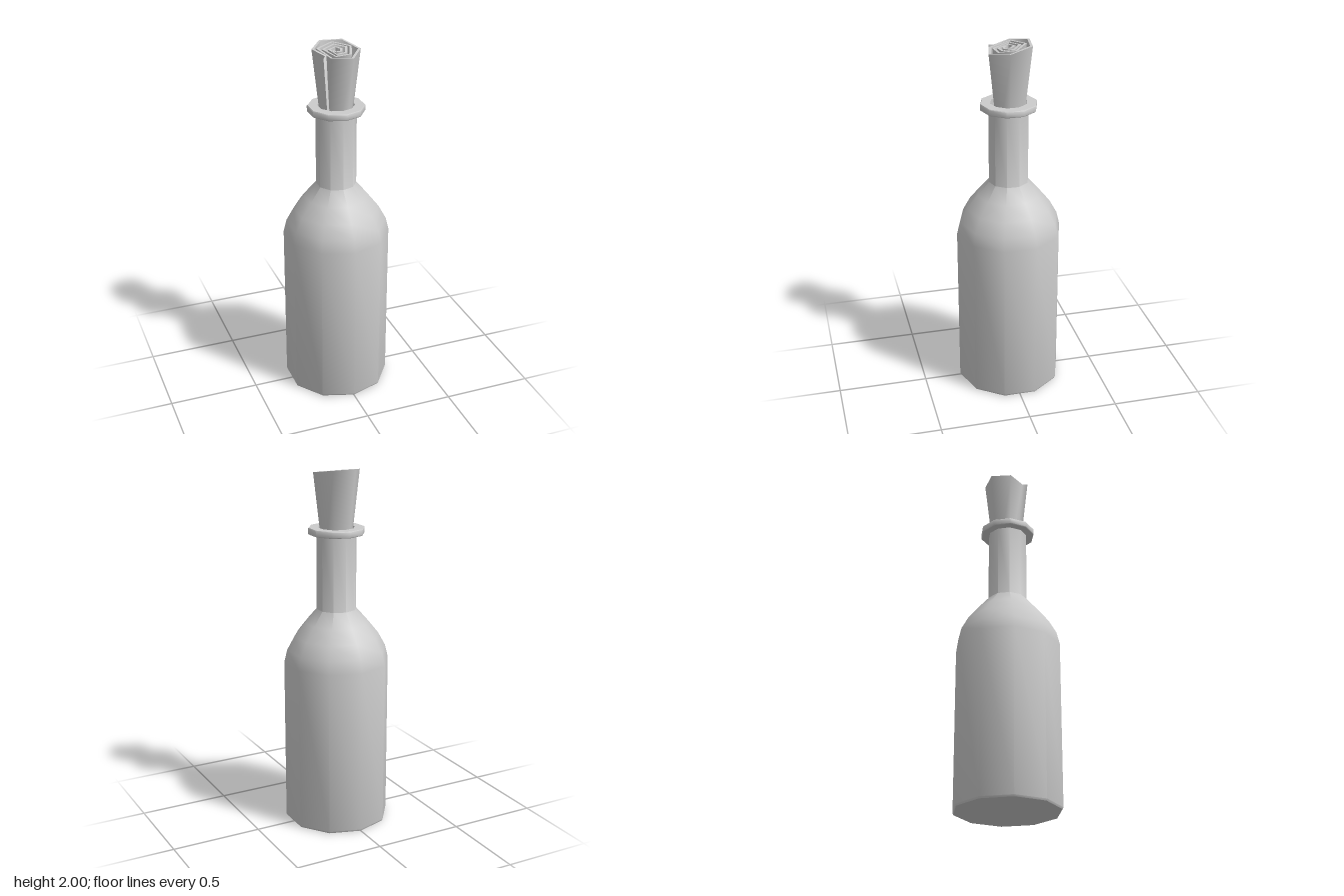
import * as THREE from 'three';
import { toCreasedNormals } from 'three/addons/utils/BufferGeometryUtils.js';

const material = new THREE.MeshStandardMaterial({ color: 0xcccccc });
const SIDES = 10;

function turned(name, profile) {
  const points = profile.map(([r, y]) => new THREE.Vector2(r, y));
  const geometry = new THREE.LatheGeometry(points, SIDES).toNonIndexed();
  const mesh = new THREE.Mesh(toCreasedNormals(geometry, 0.72), material);
  mesh.name = name;
  return mesh;
}

// Sheet rolled along a spiral path, tapering downwards into the neck
function rolledSheet(path, thickness, bottomY, bottomScale) {
  const positions = [];
  const sections = path.map(([x, z]) => {
    const inner = 1 - thickness / Math.hypot(x, z);
    const top = 1.978 - 0.15 * z;
    const s = bottomScale;
    return [
      [x, top, z],
      [x * s, bottomY, z * s],
      [x * s * inner, bottomY, z * s * inner],
      [x * inner, top, z * inner],
    ];
  });
  const quad = (a, b, c, d) => positions.push(...a, ...b, ...c, ...a, ...c, ...d);
  for (let i = 0; i < sections.length - 1; i++) {
    const a = sections[i], b = sections[i + 1];
    for (let k = 0; k < 4; k++) {
      const n = (k + 1) % 4;
      quad(a[k], b[k], b[n], a[n]);
    }
  }
  quad(...sections[0]);
  quad(...sections[sections.length - 1].slice().reverse());
  const geometry = new THREE.BufferGeometry();
  geometry.setAttribute('position', new THREE.Float32BufferAttribute(positions, 3));
  return toCreasedNormals(geometry, 1.3);
}

export function createModel() {
  const model = new THREE.Group();
  model.name = 'bottleWithRolledSheet';

  // Body, shoulder and neck, with the hollow of the neck
  model.add(turned('bottle', [
    [0, 0], [0.288, 0], [0.293, 0.01], [0.293, 0.93], [0.276, 1.0], [0.235, 1.075],
    [0.175, 1.15], [0.11, 1.225], [0.11, 1.65], [0.1, 1.65], [0.1, 1.25], [0, 1.25],
  ]));

  // Ring around the mouth
  model.add(turned('lip', [
    [0.1, 1.64], [0.152, 1.64], [0.155, 1.644], [0.155, 1.672],
    [0.152, 1.676], [0.1, 1.676], [0.1, 1.64],
  ]));

  // Rolled sheet, from its loose outer edge to the centre
  const spiral = [
    [-0.1, 0.084], [-0.083, 0.058], [-0.123, -0.034], [-0.048, -0.125], [0.077, -0.11],
    [0.13, 0.018], [0.052, 0.118], [-0.06, 0.092], [-0.097, -0.036], [0.01, -0.095],
    [0.095, -0.023], [0.06, 0.07], [-0.03, 0.08], [-0.072, -0.02], [0.01, -0.066],
    [0.07, -0.018], [0.045, 0.047], [-0.018, 0.058], [-0.042, -0.01], [0.01, -0.036],
    [0.036, -0.005], [0.024, 0.03], [-0.012, 0.03], [-0.026, 0.012],
  ];
  const sheet = new THREE.Mesh(rolledSheet(spiral, 0.015, 1.45, 0.53), material);
  sheet.name = 'rolledSheet';
  model.add(sheet);

  return model;
}
